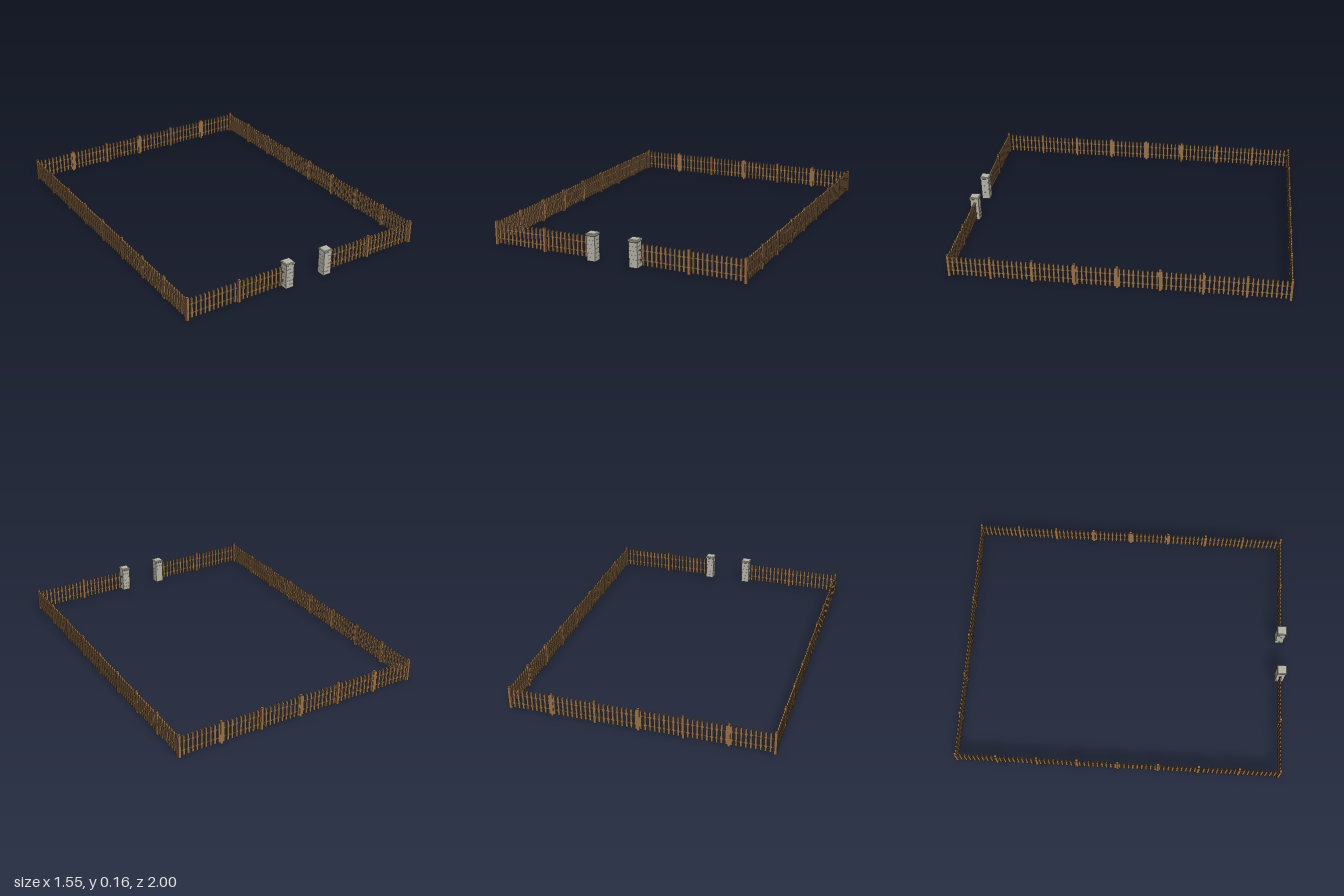
import * as THREE from 'three';
import { mergeGeometries } from 'three/addons/utils/BufferGeometryUtils.js';

const mat = (name, color) => {
  const m = new THREE.MeshStandardMaterial({ color });
  m.name = name;
  return m;
};

const box = (w, h, d, x, y, z) => new THREE.BoxGeometry(w, h, d).translate(x, y, z);

// Square frustum with flat faces
function frustum(top, bottom, h, y) {
  const g = new THREE.CylinderGeometry(top / Math.SQRT2, bottom / Math.SQRT2, h, 4, 1)
    .rotateY(Math.PI / 4).translate(0, y, 0).toNonIndexed();
  g.computeVertexNormals();
  return g;
}

// Upright picket with a pointed top
function picket(w, d, y0, y1, tip) {
  const s = new THREE.Shape([
    new THREE.Vector2(-w / 2, y0), new THREE.Vector2(w / 2, y0),
    new THREE.Vector2(w / 2, y1 - tip), new THREE.Vector2(0, y1),
    new THREE.Vector2(-w / 2, y1 - tip),
  ]);
  return new THREE.ExtrudeGeometry(s, { depth: d, bevelEnabled: false }).translate(0, 0, -d / 2);
}

export function createModel() {
  const model = new THREE.Group();
  model.name = 'fencedYard';
  const postWood = mat('post wood', 0x9b7048);
  const picketWood = mat('picket wood', 0x98734d);
  const railWood = mat('rail wood', 0x7d5d3c);
  const stone = mat('stone', 0xb7b4a8);

  const add = (parent, name, geos, material) => {
    const m = new THREE.Mesh(mergeGeometries(geos), material);
    m.name = name;
    parent.add(m);
  };

  // One straight run from a to b: evenly spaced pickets, posts at their own spacing
  function run(name, a, b, posts, gaps) {
    const g = new THREE.Group();
    g.name = name;
    const pickets = [];
    for (let k = 1; k < gaps; k++) {
      pickets.push(picket(0.013, 0.01, 0.01, 0.139, 0.011).translate(a + (b - a) * k / gaps, 0, 0));
    }
    add(g, 'posts', posts.map(p => box(0.017, 0.144, 0.016, p, 0.072, 0)), postWood);
    add(g, 'pickets', pickets, picketWood);
    add(g, 'rails', [0.041, 0.096].map(y => box(b - a, 0.008, 0.006, (a + b) / 2, y, 0)), railWood);
    model.add(g);
    return g;
  }

  const X = 0.767, BACK = -0.992, FRONT = 0.965;
  const spaced = (a, b, n) => Array.from({ length: n + 1 }, (_, i) => a + (b - a) * i / n);

  // Back run of six bays
  run('backFence', -X, X, spaced(-X, X, 6), 57).position.z = BACK;

  // Side runs of eight bays
  for (const side of [-1, 1]) {
    const g = run(side > 0 ? 'leftFence' : 'rightFence', BACK, FRONT, spaced(BACK, FRONT, 8), 73);
    g.position.x = side * X;
    g.rotation.y = -Math.PI / 2;
  }

  // Front runs ending at the gate pillars
  for (const side of [-1, 1]) {
    const g = run(side > 0 ? 'frontLeftFence' : 'frontRightFence', -X, -0.122, [-X, -0.445], 24);
    g.position.z = FRONT;
    if (side > 0) g.rotation.y = Math.PI;
  }

  // Stone gate pillars with coursed blocks and a chamfered cap
  for (const side of [-1, 1]) {
    const g = new THREE.Group();
    g.name = side > 0 ? 'leftGatePillar' : 'rightGatePillar';
    const blocks = [];
    const courses = 6, h = 0.147 / courses;
    for (let i = 0; i < courses; i++) {
      blocks.push(box(0.052, h - 0.0015, 0.052, 0, h * (i + 0.5) - 0.0007, 0));
    }
    add(g, 'blocks', blocks, stone);
    add(g, 'core', [box(0.05, 0.146, 0.05, 0, 0.073, 0)], stone);
    add(g, 'cap', [frustum(0.06, 0.052, 0.004, 0.147), frustum(0.06, 0.06, 0.008, 0.153),
      frustum(0.052, 0.06, 0.004, 0.159)], stone);
    g.position.set(side * 0.13, 0, 0.97);
    model.add(g);
  }

  return model;
}
